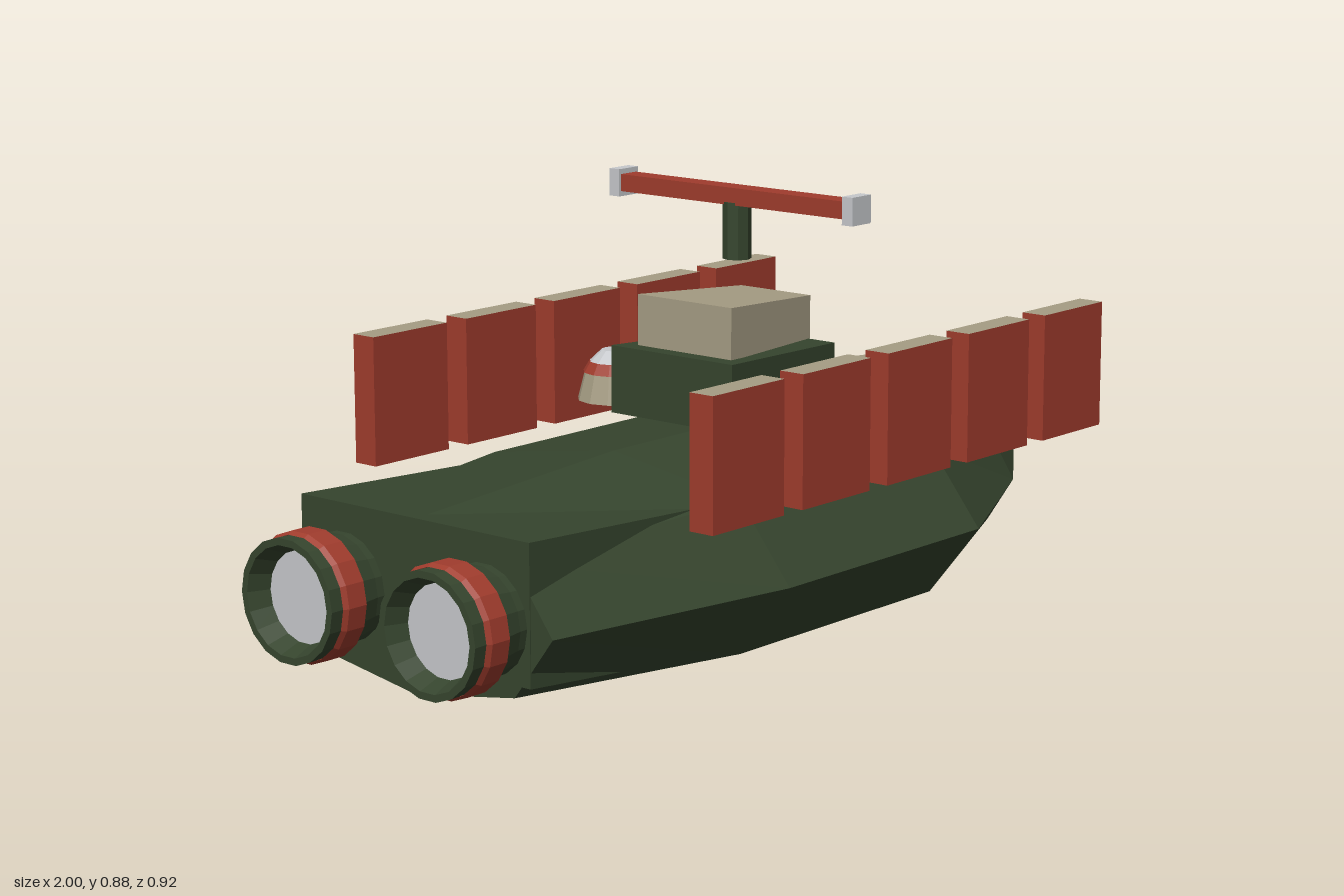
import * as THREE from 'three';

const mat = (name, color, opts = {}) => {
  const m = new THREE.MeshStandardMaterial({ color, flatShading: true, ...opts });
  m.name = name;
  return m;
};

// Skin a row of rings along +x; each ring is a list of [x, y, z], running from +y towards +z
function loft(rings) {
  const pos = [];
  const n = rings[0].length;
  const tri = (a, b, c) => pos.push(...a, ...b, ...c);
  for (let i = 0; i < rings.length - 1; i++) {
    for (let j = 0; j < n; j++) {
      const k = (j + 1) % n;
      const a = rings[i][j], b = rings[i][k], c = rings[i + 1][k], d = rings[i + 1][j];
      tri(a, b, c);
      tri(a, c, d);
    }
  }
  const first = rings[0], last = rings[rings.length - 1];
  for (let j = 1; j < n - 1; j++) {
    tri(first[0], first[j + 1], first[j]);
    tri(last[0], last[j], last[j + 1]);
  }
  const g = new THREE.BufferGeometry();
  g.setAttribute('position', new THREE.Float32BufferAttribute(pos, 3));
  g.computeVertexNormals();
  return g;
}

// Rectangular ring at x, tapering to a narrower top if wTop is given
const rect = (x, y0, y1, w, wTop = w) =>
  [[x, y1, -wTop], [x, y1, wTop], [x, y0, w], [x, y0, -w]];

export function createModel() {
  const green = mat('hullGreen', 0x36452e, { side: THREE.DoubleSide });
  const red = mat('rustRed', 0xa03c2d, { side: THREE.DoubleSide });
  const tan = mat('sandTan', 0xa69d84);
  const grey = mat('paleGrey', 0xc6c8cc);
  const darkRed = mat('barrelRed', 0x7c2626);

  const model = new THREE.Group();
  const add = (parent, name, geo, material, x = 0, y = 0, z = 0) => {
    const m = new THREE.Mesh(geo, material);
    m.name = name;
    m.position.set(x, y, z);
    parent.add(m);
    return m;
  };
  const group = (name, x, y, z) => {
    const g = new THREE.Group();
    g.name = name;
    g.position.set(x, y, z);
    model.add(g);
    return g;
  };

  // Faceted hull: eight-sided sections [x, half width, half height]
  const section = [[1, 0], [0.75, 0.727], [0, 1], [-0.75, 0.727],
    [-1, 0], [-0.75, -0.727], [0, -1], [0.75, -0.727]];
  const stations = [[-0.85, 0.345, 0.166], [-0.3, 0.44, 0.2], [0.3, 0.44, 0.2],
    [0.7, 0.24, 0.13], [1, 0.028, 0.043]];
  add(model, 'hull', loft(stations.map(([x, w, h]) =>
    section.map(([y, z]) => [x, 0.2 + y * h, z * w]))), green);

  // Engine block sunk into the stern
  add(model, 'sternBlock', loft([rect(-0.852, 0.1, 0.37, 0.292), rect(-0.4, 0.06, 0.348, 0.292)]), green);

  // Tower and cabin, both narrowing towards the bow
  add(model, 'tower', loft([rect(-0.13, 0.426, 0.563, 0.157), rect(0.23, 0.436, 0.55, 0.125)]), green);
  add(model, 'cabin', loft([rect(-0.09, 0.56, 0.665, 0.121), rect(0.195, 0.56, 0.648, 0.09)]), tan);

  // Mast with cross bar and end caps
  add(model, 'mast', new THREE.CylinderGeometry(0.029, 0.029, 0.115, 8), green, 0.072, 0.787, 0);
  add(model, 'crossBar', new THREE.BoxGeometry(0.046, 0.035, 0.58), red, 0.072, 0.857, 0);

  for (const side of [-1, 1]) {
    add(model, 'barCap', new THREE.BoxGeometry(0.058, 0.056, 0.026), grey, 0.072, 0.857, side * 0.301);

    // Deck domes
    const dome = group('dome', 0.07, 0, side * 0.326);
    add(dome, 'domeBase', new THREE.CylinderGeometry(0.064, 0.079, 0.058, 12), tan, 0, 0.429, 0);
    add(dome, 'domeBand', new THREE.CylinderGeometry(0.054, 0.067, 0.022, 12), red, 0, 0.469, 0);
    add(dome, 'domeCap', new THREE.CylinderGeometry(0.028, 0.053, 0.024, 12), grey, 0, 0.492, 0);

    // Armour panels: red slabs with a tan top face
    for (let i = 0; i < 5; i++) {
      add(model, 'armourPanel', new THREE.BoxGeometry(0.204, 0.258, 0.055),
        [red, red, tan, red, red, red], -0.445 + i * 0.2588, 0.48, side * 0.4325);
    }

    // Engines: turned shells opening towards the stern
    const engine = group('engine', 0, 0.21, side * 0.18);
    engine.rotation.z = Math.PI / 2;
    const shell = (name, pts, material) => add(engine, name,
      new THREE.LatheGeometry(pts.map(p => new THREE.Vector2(...p)), 18), material);
    shell('engineCollar', [[0.104, 0.82], [0.106, 0.87], [0.115, 0.915]], green);
    shell('engineBand', [[0.115, 0.912], [0.126, 0.918], [0.126, 0.962], [0.12, 0.972]], red);
    shell('engineRim', [[0.119, 0.968], [0.12, 1], [0.106, 1], [0.088, 0.955]], green);
    const disc = add(engine, 'engineDisc', new THREE.CircleGeometry(0.09, 18), grey, 0, 0.957, 0);
    disc.rotation.x = -Math.PI / 2;
  }

  // Twin-barrel turrets on the foredeck
  for (const x of [0.35, 0.515]) {
    const turret = group('turret', x, 0, 0);
    add(turret, 'turretBase', new THREE.CylinderGeometry(0.06, 0.083, 0.026, 16), green, 0, 0.422, 0);
    add(turret, 'turretBody', loft([
      rect(-0.065, 0.432, 0.464, 0.047, 0.038), rect(0.07, 0.436, 0.458, 0.03, 0.022)]), tan);
    for (const z of [-0.015, 0.015]) {
      const barrel = add(turret, 'barrel', new THREE.CylinderGeometry(0.006, 0.006, 0.12, 8), darkRed, 0.1, 0.45, z);
      barrel.rotation.z = -Math.PI / 2;
      const muzzle = add(turret, 'muzzle', new THREE.CircleGeometry(0.004, 8), grey, 0.161, 0.45, z);
      muzzle.rotation.y = Math.PI / 2;
    }
  }
  return model;
}
